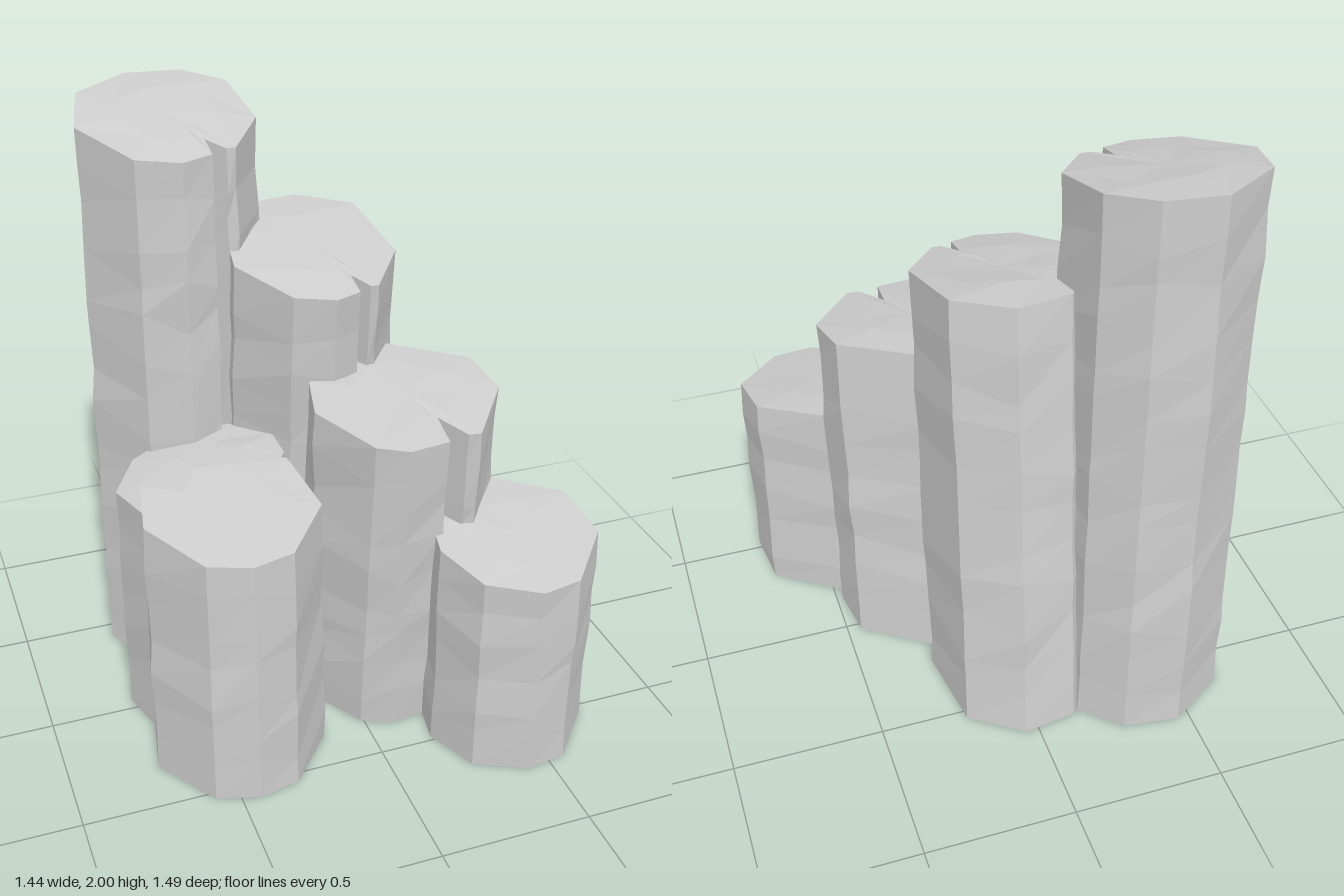
import * as THREE from 'three';

// Small repeatable random source, from -0.5 to 0.5
function seeded(seed) {
  return () => {
    seed = (seed * 16807) % 2147483647;
    return seed / 2147483647 - 0.5;
  };
}

// Rim corners as [x, z] offsets; cleft is the depth of a crack in the front right face
function rimOutline({ rx, rz, angles, cleft }) {
  const corners = angles.map((degrees) => {
    const a = THREE.MathUtils.degToRad(degrees);
    return new THREE.Vector2(rx * Math.cos(a), rz * Math.sin(a));
  });
  if (cleft) {
    const [a, b] = [corners[1], corners[2]];
    const tip = a.clone().lerp(b, 0.25).multiplyScalar(1 - cleft);
    corners.splice(2, 0, a.clone().lerp(b, 0.15).multiplyScalar(0.97), tip, a.clone().lerp(b, 0.45));
  }
  return corners;
}

// x, z: middle of the top; low, high: rim heights at front and back;
// lean: how far back the base sits; spread: base scale; slopeX: sideways tilt
function columnGeometry(spec, seed) {
  const { x, z, rz, low, high, lean, spread, slopeX = 0 } = spec;
  const random = seeded(seed * 7919 + 13);
  const rim = rimOutline(spec);
  const n = rim.length;
  const height = (dx, dz) =>
    Math.min(high, THREE.MathUtils.lerp(high, low, (dz / rz + 0.75) / 1.75)) + slopeX * dx;
  const rows = Math.max(6, Math.round(high / 0.14));

  // Weathered rings from the flat base to the sloping rim
  const rings = [];
  for (let r = 0; r <= rows; r++) {
    const inner = r > 0 && r < rows;
    rings.push(rim.map((p) => {
      const t = (r + (inner ? random() * 0.6 : 0)) / rows;
      const k = THREE.MathUtils.lerp(spread, 1, t) * (inner ? 1 + random() * 0.045 : 1);
      return new THREE.Vector3(x + p.x * k, height(p.x, p.y) * t, z + p.y * k - lean * (1 - t));
    }));
  }
  // Worn inner ring and middle of the top
  const crown = rim.map((p) => {
    const k = 0.55 + random() * 0.2;
    return new THREE.Vector3(x + p.x * k, height(p.x * k, p.y * k) + 0.005 + random() * 0.01, z + p.y * k);
  });
  const topCentre = new THREE.Vector3(x, height(0, 0) + 0.003, z);
  const baseCentre = new THREE.Vector3(x, 0, z - lean);

  const points = [];
  const quad = (a, b, c, d) => points.push(a, b, c, a, c, d);
  for (let i = 0; i < n; i++) {
    const j = (i + 1) % n;
    for (let r = 0; r < rows; r++) quad(rings[r][j], rings[r][i], rings[r + 1][i], rings[r + 1][j]);
    quad(rings[rows][j], rings[rows][i], crown[i], crown[j]);
    points.push(topCentre, crown[j], crown[i], baseCentre, rings[0][i], rings[0][j]);
  }
  // Unshared corners give faceted stone
  const geometry = new THREE.BufferGeometry().setFromPoints(points);
  geometry.computeVertexNormals();
  return geometry;
}

export function createModel() {
  const group = new THREE.Group();
  group.name = 'basaltColumns';
  const stone = new THREE.MeshStandardMaterial({ color: 0xcccccc });
  stone.name = 'grey stone';

  // Corner angles run from the left side of the model round by the front
  const columns = {
    tallestColumn: {
      x: -0.405, z: -0.425, rx: 0.29, rz: 0.287, low: 1.875, high: 2, lean: 0.035, spread: 1.02, cleft: 0.3,
      angles: [17, 55, 93, 122, 173, 214, 259, 296, 329],
    },
    secondColumn: {
      x: -0.01, z: -0.185, rx: 0.275, rz: 0.302, low: 1.475, high: 1.6, lean: 0.16, spread: 1.02, cleft: 0.3,
      angles: [19, 59, 92, 120, 167, 209, 244, 281, 323],
    },
    middleColumn: {
      x: 0.175, z: 0.2, rx: 0.308, rz: 0.283, low: 1.11, high: 1.2, lean: 0.1, spread: 1, cleft: 0.45,
      angles: [9, 60, 107, 127, 176, 207, 244, 279, 334],
    },
    rightFrontColumn: {
      x: 0.45, z: 0.478, rx: 0.267, rz: 0.27, low: 0.7, high: 0.8, lean: 0.015, spread: 1.01,
      angles: [15, 67, 96, 136, 176, 203, 239, 276, 332],
    },
    leftFrontColumn: {
      x: -0.43, z: 0.28, rx: 0.282, rz: 0.283, low: 0.875, high: 0.97, lean: 0, spread: 1.015,
      angles: [16, 64, 92, 121, 172, 210, 249, 282, 327],
    },
    leftRearColumn: {
      x: -0.45, z: 0.01, rx: 0.272, rz: 0.26, low: 0.9, high: 0.9, lean: 0.01, spread: 1, slopeX: 0.2,
      angles: [15, 60, 95, 140, 190, 230, 265, 305, 345],
    },
  };
  Object.entries(columns).forEach(([name, spec], i) => {
    const mesh = new THREE.Mesh(columnGeometry(spec, i + 1), stone);
    mesh.name = name;
    group.add(mesh);
  });
  return group;
}
